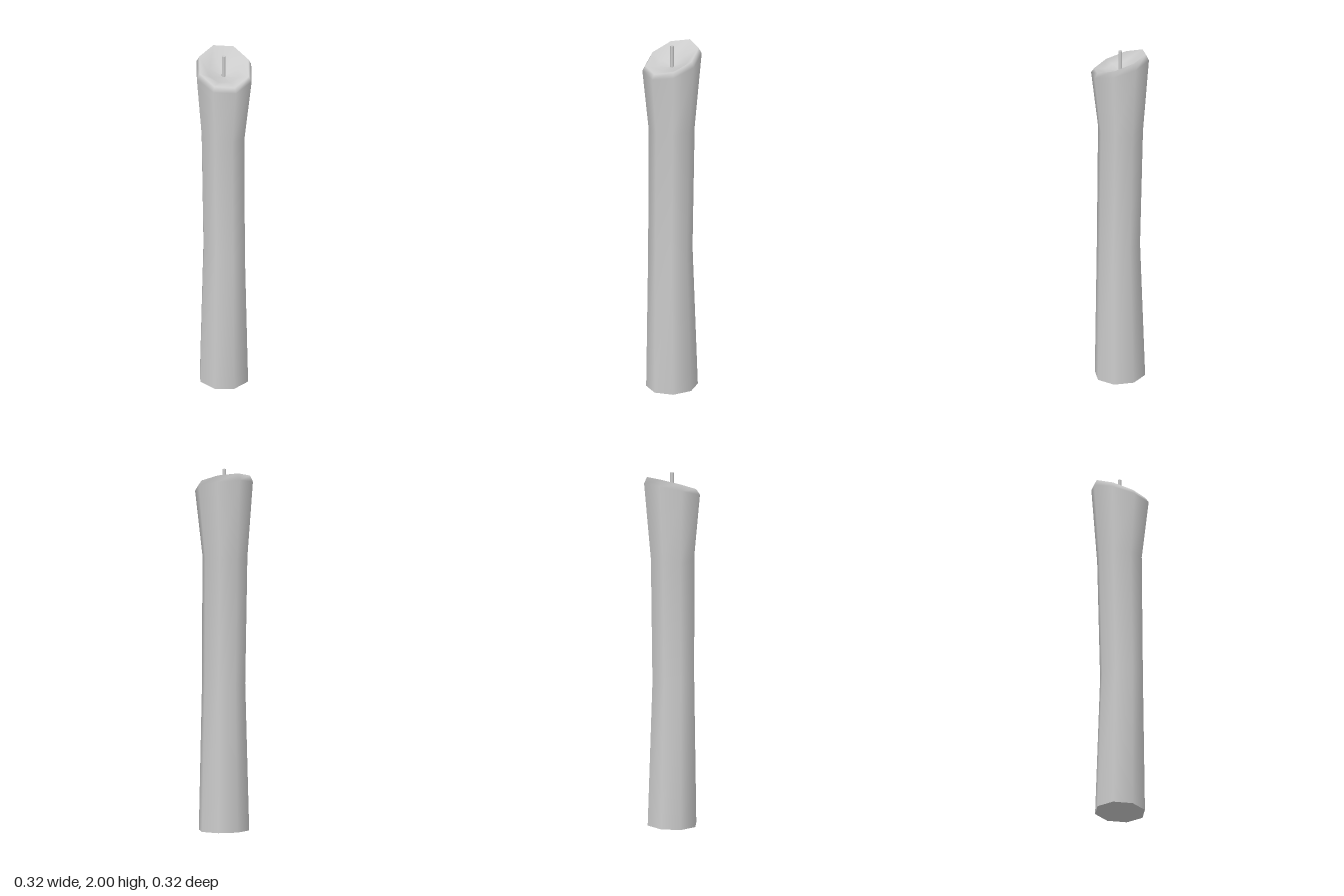
import * as THREE from 'three';

const SIDES = 8;
const TURN = -0.213; // rotates the octagon slightly off the axes

// Joins octagonal rings into a smooth skin. Each ring: radius, y, centre x, centre z, slope towards +x +z
function loft(rings) {
  const pos = [], index = [];
  for (const [r, y, cx, cz, slope] of rings) {
    for (let i = 0; i < SIDES; i++) {
      const a = TURN + (i / SIDES) * Math.PI * 2;
      const x = r * Math.cos(a), z = r * Math.sin(a);
      pos.push(x + cx, y + slope * (x + z), z + cz);
    }
  }
  for (let j = 0; j < rings.length - 1; j++) {
    for (let i = 0; i < SIDES; i++) {
      const k = (i + 1) % SIDES;
      const a = j * SIDES + i, b = j * SIDES + k;
      index.push(a, a + SIDES, b, b, a + SIDES, b + SIDES);
    }
  }
  const g = new THREE.BufferGeometry();
  g.setAttribute('position', new THREE.Float32BufferAttribute(pos, 3));
  g.setIndex(index);
  g.computeVertexNormals();
  return g;
}

export function createModel() {
  const group = new THREE.Group();
  const material = new THREE.MeshStandardMaterial({ color: 0xcccccc });
  const add = (name, geometry) => {
    const mesh = new THREE.Mesh(geometry, material);
    mesh.name = name;
    group.add(mesh);
  };

  // Wax column: narrow waist, flared slanted rim and a melted hollow
  add('waxBody', loft([
    [0.141, 0.005, 0, 0, -0.025],
    [0.121, 0.82, 0.006, 0.008, 0],
    [0.126, 1.52, -0.004, 0.003, 0],
    [0.162, 1.905, 0, 0, -0.25],
    [0.145, 1.936, 0, 0, -0.3],
    [0.085, 1.893, 0, 0, -0.12],
    [0, 1.875, 0, 0, 0],
  ]));

  // Flat underside
  add('base', loft([[0, 0.005, 0, 0, 0], [0.141, 0.005, 0, 0, -0.025]]));

  // Wick standing in the hollow
  const wick = new THREE.CylinderGeometry(0.01, 0.011, 0.135, 8);
  wick.translate(-0.002, 1.9325, 0);
  add('wick', wick);

  return group;
}
